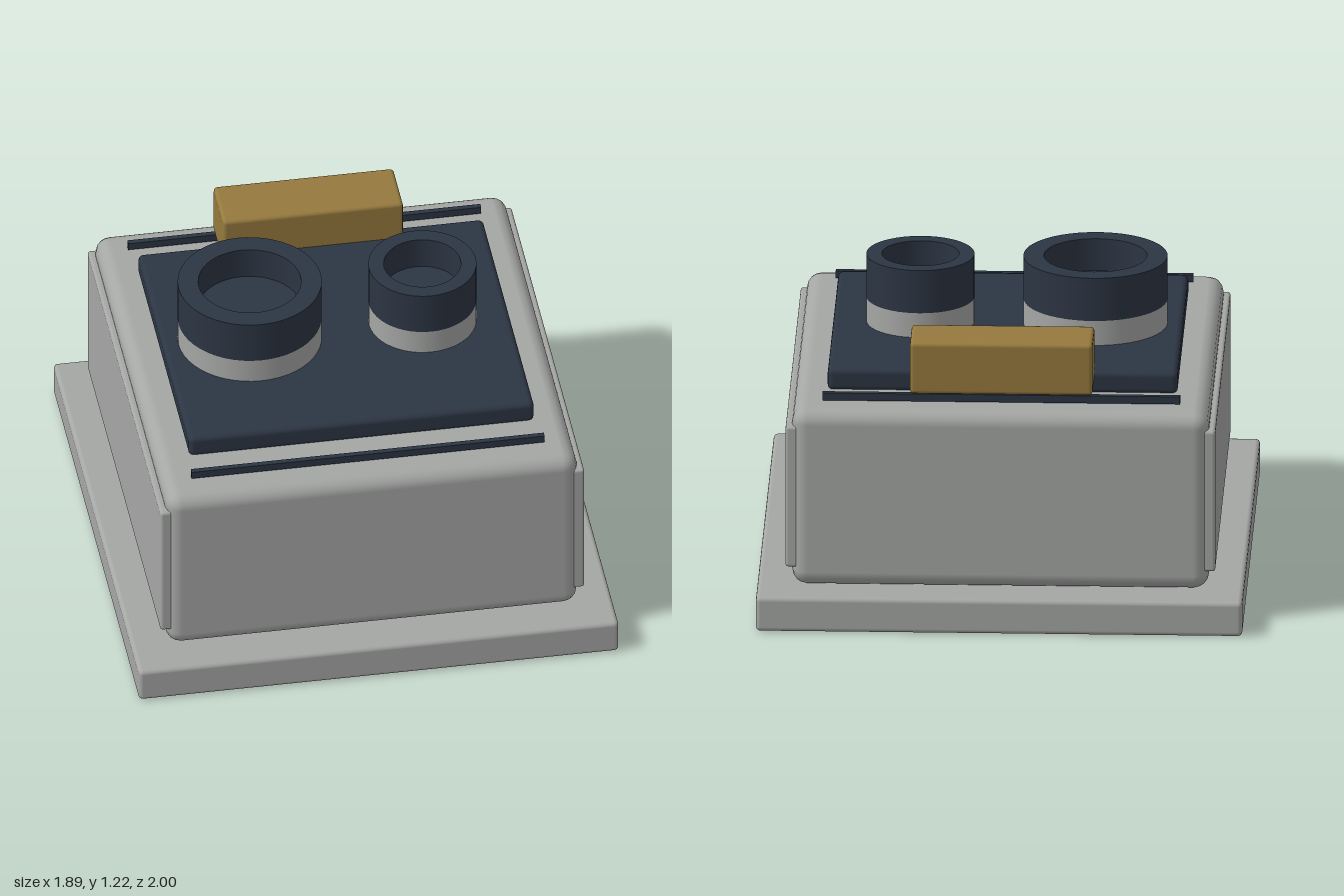
import * as THREE from 'three';
import { RoundedBoxGeometry } from 'three/addons/geometries/RoundedBoxGeometry.js';

const mat = (name, color) => {
  const m = new THREE.MeshStandardMaterial({ color });
  m.name = name;
  return m;
};

export function createModel() {
  const group = new THREE.Group();
  const grey = mat('concrete grey', 0xa5a7a5);
  const dark = mat('dark slate', 0x2c3543);
  const ochre = mat('ochre', 0x967a3e);

  const add = (name, geometry, material, x = 0, y = 0, z = 0) => {
    const mesh = new THREE.Mesh(geometry, material);
    mesh.name = name;
    mesh.position.set(x, y, z);
    group.add(mesh);
    return mesh;
  };
  // Rounded box given by its size, its bottom height and its edge radius
  const block = (name, material, w, h, d, r, x, bottom, z) =>
    add(name, new RoundedBoxGeometry(w, h, d, 2, r), material, x, bottom + h / 2, z);

  // Foundation slab and main body
  block('baseSlab', grey, 1.89, 0.14, 2.0, 0.018, 0, 0, 0);
  block('body', grey, 1.62, 0.72, 1.735, 0.06, 0, 0.14, 0);

  // Raised panels on both sides, and rails at the front and back of the roof
  for (const s of [-1, 1]) {
    block(s > 0 ? 'leftPanel' : 'rightPanel', grey, 0.05, 0.575, 1.7, 0.012, s * 0.81, 0.215, 0);
    add(s > 0 ? 'frontRail' : 'backRail', new THREE.BoxGeometry(1.39, 0.03, 0.022), dark, 0, 0.882, s * 0.738);
  }

  // Roof plate and the box behind it
  block('roofPlate', dark, 1.36, 0.09, 1.2, 0.022, 0, 0.855, 0);
  block('rearBox', ochre, 0.71, 0.21, 0.235, 0.016, 0, 0.9, -0.645);

  // Open-topped vents: pale collar below, dark cup with a sunken floor above
  const vent = (name, x, outer, inner) => {
    const collar = new THREE.CylinderGeometry(outer, outer, 0.105, 48, 1, true);
    add(name + 'Collar', collar, grey, x, 0.9925, 0);
    const wall = (points) => new THREE.LatheGeometry(points.map(([r, y]) => new THREE.Vector2(r, y)), 48);
    add(name + 'Outside', wall([[outer, 1.045], [outer, 1.22]]), dark, x);
    add(name + 'Rim', wall([[outer, 1.22], [inner, 1.22]]), dark, x);
    add(name + 'Inside', wall([[inner, 1.22], [inner, 1.09]]), dark, x);
    add(name + 'Floor', wall([[inner, 1.09], [0, 1.09]]), dark, x);
  };
  vent('largeVent', -0.34, 0.28, 0.2);
  vent('smallVent', 0.34, 0.21, 0.15);

  return group;
}
